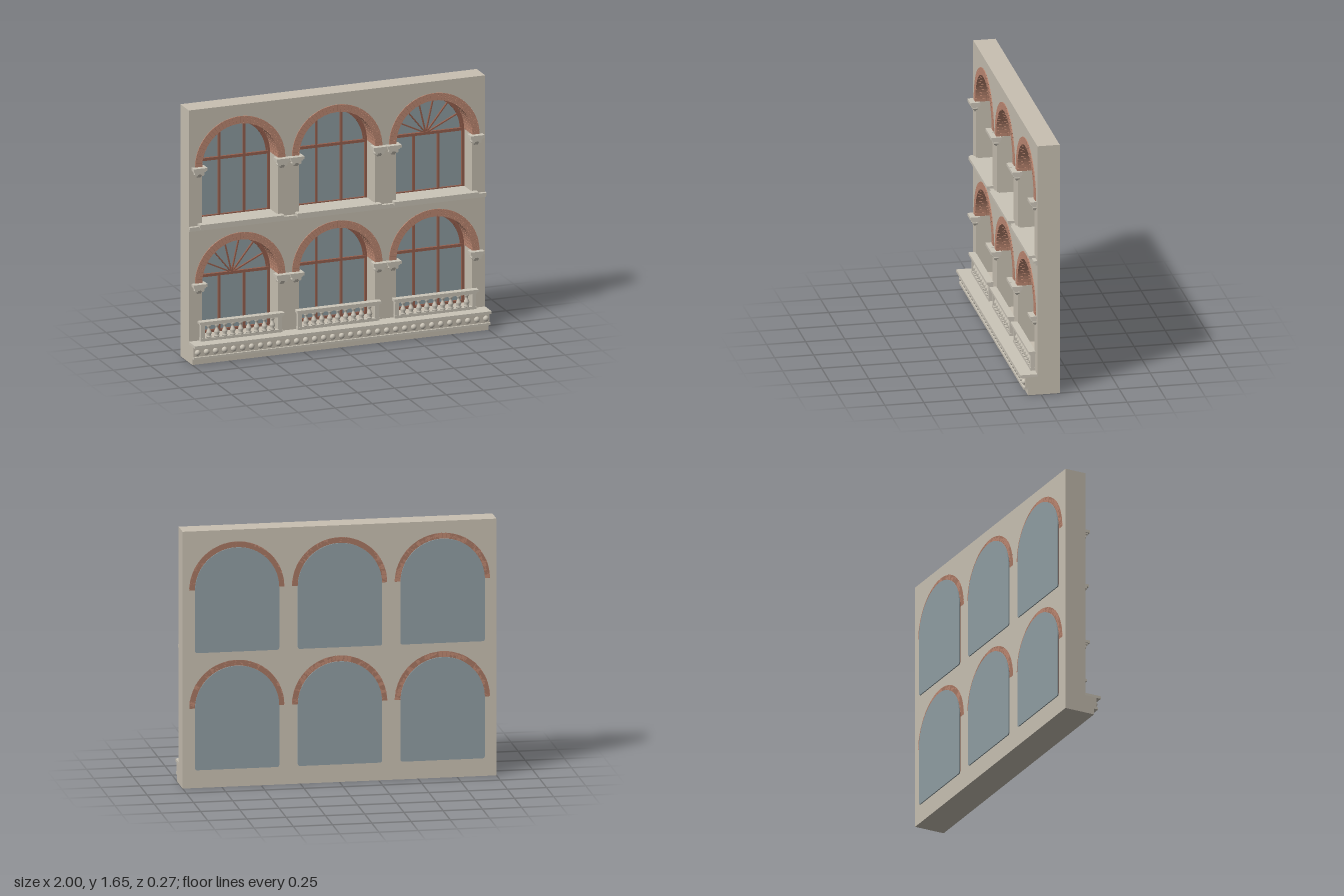
import * as THREE from 'three';
import { mergeGeometries } from 'three/addons/utils/BufferGeometryUtils.js';

const HALF = 0.257, OUTER = 0.303, BACK = -0.12, FRONT = 0.023;

const mat = (name, color) => {
  const m = new THREE.MeshStandardMaterial({ color });
  m.name = name;
  return m;
};

function add(parent, name, geometry, material, x = 0, y = 0, z = 0) {
  const mesh = new THREE.Mesh(geometry, material);
  mesh.name = name;
  mesh.position.set(x, y, z);
  parent.add(mesh);
  return mesh;
}

// box given by its lower and upper limits
function block(parent, name, material, x0, x1, y0, y1, z0, z1) {
  return add(parent, name, new THREE.BoxGeometry(x1 - x0, y1 - y0, z1 - z0), material,
    (x0 + x1) / 2, (y0 + y1) / 2, (z0 + z1) / 2);
}

function extrude(shape, z0, z1) {
  const g = new THREE.ExtrudeGeometry(shape, { depth: z1 - z0, bevelEnabled: false, curveSegments: 32 });
  return g.translate(0, 0, z0);
}

// round-headed outline: straight sides up to the spring line, then a half circle
function archOutline(path, cx, bottom, spring, half, radius = half, corner = 0) {
  path.moveTo(cx - half + corner, bottom);
  path.lineTo(cx + half - corner, bottom);
  if (corner) path.quadraticCurveTo(cx + half, bottom, cx + half, bottom + corner);
  path.lineTo(cx + half, spring);
  if (radius !== half) path.lineTo(cx + radius, spring);
  path.absarc(cx, spring, radius, 0, Math.PI, false);
  if (radius !== half) path.lineTo(cx - half, spring);
  path.lineTo(cx - half, bottom + corner);
  if (corner) path.quadraticCurveTo(cx - half, bottom, cx - half + corner, bottom);
  return path;
}

function ringShape(inner, outer) {
  const s = new THREE.Shape();
  s.absarc(0, 0, outer, 0, Math.PI, false);
  s.absarc(0, 0, inner, Math.PI, 0, true);
  s.closePath();
  return s;
}

// wedge-shaped bricks in courses running through the wall
function brickGeometry() {
  const count = 36, courses = 4, parts = [], step = Math.PI / count;
  const z0 = BACK - 0.001, depth = (0.03 - z0) / courses;
  for (let c = 0; c < courses; c++) {
    for (let i = 0; i < count; i++) {
      const g = new THREE.BoxGeometry(1, OUTER - HALF + 0.002, depth - 0.002);
      const p = g.attributes.position;
      for (let k = 0; k < p.count; k++) {
        const r = p.getY(k) > 0 ? OUTER + 0.001 : HALF - 0.001;
        p.setX(k, Math.sign(p.getX(k)) * r * Math.tan(step * 0.46));
      }
      g.translate(0, (OUTER + HALF) / 2, z0 + (c + 0.5) * depth);
      g.rotateZ((i + 0.5) * step - Math.PI / 2);
      parts.push(g);
    }
  }
  return mergeGeometries(parts);
}

export function createModel() {
  const model = new THREE.Group();
  model.name = 'facade';
  const wallMat = mat('wall stone', 0xc8c0b2);
  const trimMat = mat('trim stone', 0xcbc5b8);
  const brickMat = mat('brick', 0xbd8872);
  const mortarMat = mat('mortar', 0xa67763);
  const woodMat = mat('window wood', 0x95604e);
  const glassMat = mat('glass', 0x8f9da2);

  const columns = [-0.655, 0, 0.655];
  const floors = [
    { bottom: 0.135, spring: 0.512, fan: 0 },
    { bottom: 0.89, spring: 1.275, fan: 2 },
  ];

  // wall with six round-headed openings
  const wall = new THREE.Shape();
  wall.moveTo(-1, 0).lineTo(1, 0).lineTo(1, 1.655).lineTo(-1, 1.655).closePath();
  for (const f of floors) for (const cx of columns)
    wall.holes.push(archOutline(new THREE.Path(), cx, f.bottom, f.spring, HALF, OUTER));
  add(model, 'wall', extrude(wall, BACK, FRONT), wallMat);

  // plinth with cornice, lower ledge and a row of beads
  const plinth = new THREE.Group();
  plinth.name = 'plinth';
  model.add(plinth);
  block(plinth, 'plinthBody', wallMat, -1, 1, 0, 0.12, 0.02, 0.083);
  block(plinth, 'beadBand', wallMat, -1, 1, 0.05, 0.118, 0.08, 0.1);
  block(plinth, 'lowerLedge', trimMat, -1, 1, 0.04, 0.055, 0.08, 0.113);
  block(plinth, 'cornice', trimMat, -1, 1, 0.118, 0.136, 0.02, 0.132);
  const beadGeo = new THREE.SphereGeometry(0.019, 12, 8).scale(1, 1, 0.85);
  for (let i = 0; i < 33; i++)
    add(plinth, 'bead', beadGeo, trimMat, (i - 16) * 0.0608, 0.083, 0.103);

  // string course between the storeys
  block(model, 'stringCourseLower', trimMat, -1, 1, 0.86, 0.874, 0.02, 0.034);
  block(model, 'stringCourseUpper', trimMat, -1, 1, 0.874, 0.89, 0.02, 0.047);

  const bricks = brickGeometry();
  const mortar = extrude(ringShape(HALF + 0.001, OUTER - 0.001), BACK, 0.028);
  const frameRing = extrude(ringShape(0.24, 0.258), -0.128, -0.111);
  const innerRing = extrude(ringShape(0.232, 0.242), -0.128, -0.117);
  const balusterGeo = new THREE.LatheGeometry([
    [0, 0], [0.017, 0], [0.017, 0.01], [0.01, 0.014], [0.018, 0.03], [0.016, 0.04],
    [0.008, 0.058], [0.008, 0.068], [0.014, 0.074], [0.015, 0.088], [0, 0.088],
  ].map(([x, y]) => new THREE.Vector2(x, y)), 10);
  const scrollGeo = new THREE.CylinderGeometry(0.011, 0.011, 0.03, 12).rotateX(Math.PI / 2);

  function addWindow(cx, { bottom, spring }, fan) {
    const win = new THREE.Group();
    win.name = fan ? 'fanWindow' : 'window';
    win.position.x = cx;
    model.add(win);

    // brick arch
    add(win, 'archMortar', mortar, mortarMat, 0, spring);
    add(win, 'archBricks', bricks, brickMat, 0, spring);

    // pane behind the wall
    const pane = archOutline(new THREE.Shape(), 0, bottom - 0.018, spring, 0.268, 0.268, 0.015);
    add(win, 'pane', extrude(pane, -0.134, -0.127), glassMat);

    // timber frame
    const z0 = -0.128, z1 = -0.113;
    add(win, 'frameArch', frameRing, woodMat, 0, spring);
    add(win, 'frameArchInner', innerRing, woodMat, 0, spring);
    for (const s of [-1, 1]) {
      block(win, 'frameSide', woodMat, s * 0.249 - 0.008, s * 0.249 + 0.008, bottom, spring, z0, -0.111);
      const top = fan ? spring : spring + 0.226;
      block(win, 'mullion', woodMat, s * 0.083 - 0.007, s * 0.083 + 0.007, bottom, top, z0, z1);
    }
    block(win, 'transom', woodMat, -0.255, 0.255, spring - 0.009, spring + 0.009, z0, -0.11);
    block(win, 'frameBottom', woodMat, -0.255, 0.255, bottom, bottom + 0.016, z0, z1);
    if (fan) for (let i = 1; i < 7; i++) {
      const a = i * Math.PI / 7;
      const ray = add(win, 'fanBar', new THREE.BoxGeometry(0.237, 0.008, 0.012), woodMat,
        Math.cos(a) * 0.1185, spring + Math.sin(a) * 0.1185, -0.121);
      ray.rotation.z = a;
    }

    // stepped capitals under the arch ends
    for (const s of [-1, 1]) {
      const cap = new THREE.Group();
      cap.name = 'capital';
      cap.position.set(s * 0.28, spring, 0);
      win.add(cap);
      block(cap, 'capitalSlab', trimMat, -0.046, 0.046, -0.016, 0.002, 0, 0.064);
      block(cap, 'capitalStep', trimMat, -0.039, 0.039, -0.027, -0.016, 0.005, 0.055);
      block(cap, 'capitalNeck', trimMat, -0.031, 0.031, -0.042, -0.027, 0.01, 0.047);
      const foot = new THREE.CylinderGeometry(0.038, 0.016, 0.026, 4, 1).rotateY(Math.PI / 4);
      add(cap, 'capitalFoot', foot.scale(1, 1, 0.6), trimMat, 0, -0.053, 0.024);
      for (const t of [-1, 1]) add(cap, 'scroll', scrollGeo, trimMat, t * 0.022, -0.042, 0.03);
    }
  }

  // balustrade in front of a lower window
  function addBalustrade(cx) {
    const b = new THREE.Group();
    b.name = 'balustrade';
    b.position.x = cx;
    model.add(b);
    block(b, 'handrail', trimMat, -0.285, 0.285, 0.25, 0.266, 0.021, 0.066);
    block(b, 'railUnderside', trimMat, -0.275, 0.275, 0.238, 0.25, 0.022, 0.056);
    block(b, 'footRail', trimMat, -0.275, 0.275, 0.136, 0.154, 0.022, 0.052);
    for (const s of [-1, 1])
      block(b, 'post', trimMat, s * 0.26 - 0.013, s * 0.26 + 0.013, 0.15, 0.24, 0.02, 0.05);
    for (let i = 0; i < 9; i++)
      add(b, 'baluster', balusterGeo, trimMat, (i - 4) * 0.0535, 0.152, 0.035);
  }

  floors.forEach((f, level) => columns.forEach((cx, i) => {
    addWindow(cx, f, i === f.fan);
    if (level === 0) addBalustrade(cx);
    else {
      // projecting sill and the ledge inside the opening
      block(model, 'sill', trimMat, cx - 0.285, cx + 0.285, 0.886, 0.906, 0.015, 0.066);
      block(model, 'sillStep', trimMat, cx - 0.275, cx + 0.275, 0.874, 0.887, 0.02, 0.053);
      block(model, 'innerSill', trimMat, cx - HALF, cx + HALF, 0.885, 0.9, BACK, 0.016);
    }
  }));
  return model;
}
